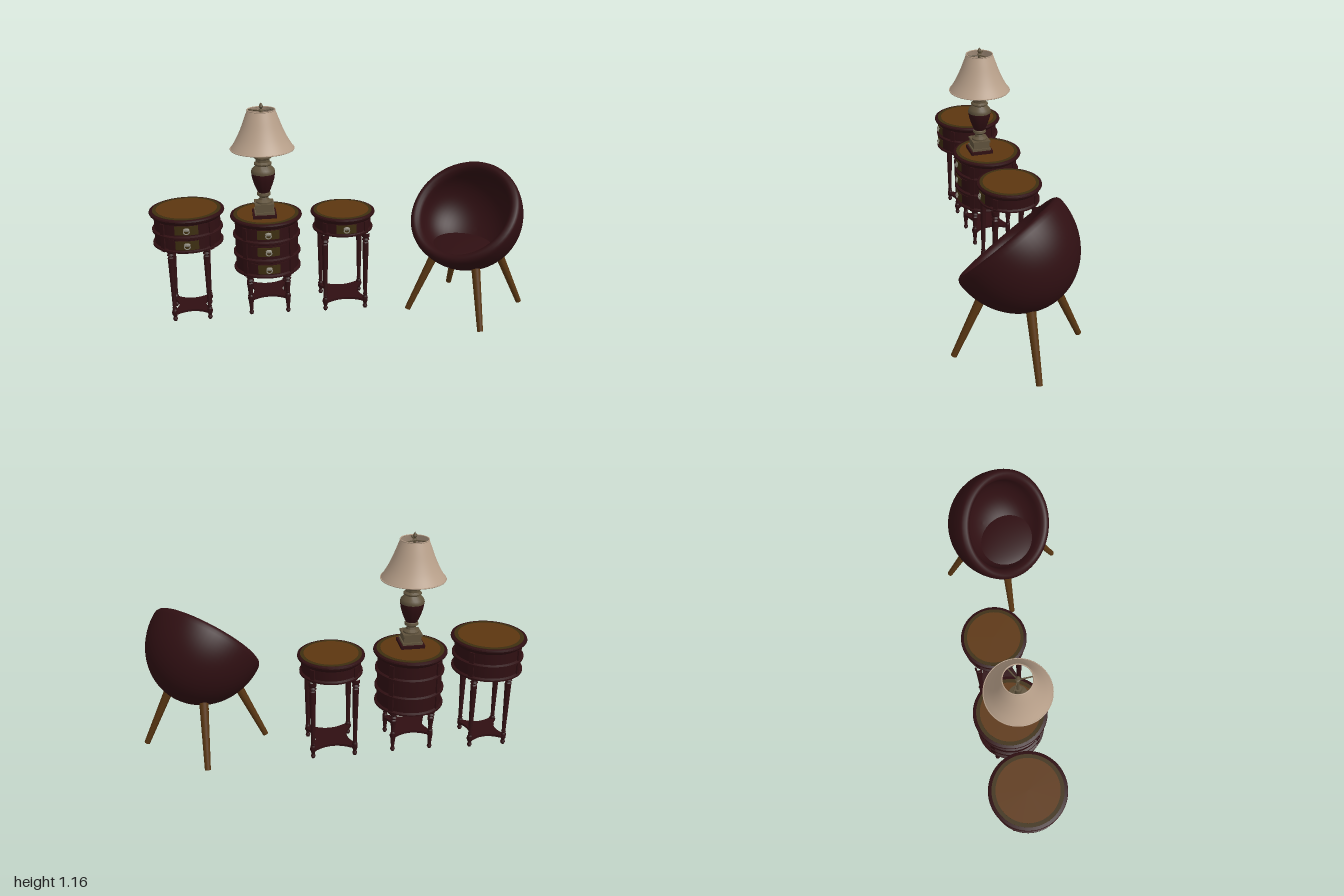
import * as THREE from 'three';
import { toCreasedNormals } from 'three/addons/utils/BufferGeometryUtils.js';

const mat = (name, color, side = THREE.FrontSide) => {
  const m = new THREE.MeshStandardMaterial({ color, side });
  m.name = name;
  return m;
};

export function createModel() {
  const wine = mat('dark wine', 0x2f0f12);
  const leather = mat('tan leather', 0x5c3610);
  const olive = mat('olive trim', 0x3d2e10);
  const legWood = mat('leg wood', 0x573512);
  const silver = mat('silver', 0x8f8a7c);
  const bronze = mat('aged bronze', 0x5f523c);
  const linen = mat('linen shade', 0xb8a08a, THREE.DoubleSide);

  const model = new THREE.Group();
  model.name = 'furnitureSet';

  const add = (parent, name, geo, material, x = 0, y = 0, z = 0) => {
    const mesh = new THREE.Mesh(geo, material);
    mesh.name = name;
    mesh.position.set(x, y, z);
    parent.add(mesh);
    return mesh;
  };
  const group = (name, x = 0, y = 0, z = 0) => {
    const g = new THREE.Group();
    g.name = name;
    g.position.set(x, y, z);
    model.add(g);
    return g;
  };
  const vecs = pts => pts.map(p => new THREE.Vector2(p[0], p[1]));
  // Turned part, profile listed from bottom to top as [radius, y]
  const turned = (pts, seg = 48, start = 0, arc = Math.PI * 2) =>
    toCreasedNormals(new THREE.LatheGeometry(vecs(pts), seg, start, arc), 0.6);

  // Shelf with four concave sides between the legs
  const shelfGeometry = s => {
    const e = s + 0.016, k = s * 0.52, c = 0.022;
    const shape = new THREE.Shape();
    shape.moveTo(e, e - c);
    for (let i = 0; i < 4; i++) {
      const a = i * Math.PI / 2, co = Math.cos(a), si = Math.sin(a);
      const at = (x, y) => [x * co - y * si, x * si + y * co];
      shape.lineTo(...at(e, e - c));
      shape.lineTo(...at(e - c, e));
      shape.quadraticCurveTo(...at(0, k * 0.75), ...at(c - e, e));
    }
    const geo = new THREE.ExtrudeGeometry(shape, { depth: 0.012, bevelEnabled: false, curveSegments: 14 });
    geo.rotateX(-Math.PI / 2);
    return geo;
  };

  // Round side table; tiers are the heights of the ledges between drawers
  const table = (name, x, R, top, tiers, legAt, foot, shelfY) => {
    const g = group(name, x, 0, -0.153);
    const low = tiers[0], r = R * 0.88;

    const profile = [[0, low], [r, low]];
    tiers.forEach((y, i) => {
      if (i === 0) profile.push([R * 0.94, low + 0.006], [R * 0.94, low + 0.014], [r, low + 0.02]);
      else if (i < tiers.length - 1)
        profile.push([r, y - 0.012], [R * 0.94, y - 0.006], [R * 0.94, y + 0.004], [r, y + 0.01]);
    });
    profile.push([r, top - 0.034], [R * 0.93, top - 0.026], [R * 0.95, top - 0.018],
      [R * 0.985, top - 0.015], [R, top - 0.009], [R * 0.99, top - 0.002], [R * 0.97, top], [0, top]);
    add(g, 'tableBody', turned(profile, 64), wine);

    // Inlaid top
    add(g, 'topBorder', new THREE.CylinderGeometry(R * 0.91, R * 0.91, 0.002, 64), olive, 0, top + 0.001, 0);
    add(g, 'topInlay', new THREE.CylinderGeometry(R * 0.81, R * 0.81, 0.002, 64), leather, 0, top + 0.002, 0);

    // Drawer fronts with plate and pull
    for (let i = 0; i < tiers.length - 1; i++) {
      const y = (tiers[i] + tiers[i + 1]) / 2 + 0.003;
      const band = (rad, h, half) =>
        turned([[rad - 0.005, y - h], [rad, y - h], [rad, y + h], [rad - 0.005, y + h]], 16, -half, half * 2);
      add(g, 'drawerFront', band(r + 0.004, 0.029, 0.6), wine);
      add(g, 'drawerPlate', band(r + 0.007, 0.024, 0.34), olive);
      const rosette = add(g, 'drawerRosette', new THREE.SphereGeometry(0.013, 12, 8), silver, 0, y + 0.005, r + 0.007);
      rosette.scale.set(1.3, 0.8, 0.45);
      const pull = add(g, 'drawerPull', new THREE.TorusGeometry(0.012, 0.0028, 6, 16), silver, 0, y - 0.005, r + 0.012);
      pull.scale.x = 1.2;
    }

    // Turned legs, with posts running up the body
    const leg = turned([[0, foot], [0.008, foot], [0.013, foot + 0.012], [0.008, foot + 0.024],
      [0.014, shelfY - 0.008], [0.014, shelfY + 0.016], [0.009, shelfY + 0.024], [0.012, shelfY + 0.03],
      [0.01, shelfY + 0.038], [0.017, low - 0.05], [0.011, low - 0.044], [0.02, low - 0.034],
      [0.014, low - 0.024], [0.021, low - 0.016], [0.021, low + 0.005]], 16);
    for (const sx of [-1, 1]) for (const sz of [-1, 1]) {
      add(g, 'tableLeg', leg, wine, sx * legAt, 0, sz * legAt);
      const h = top - 0.035 - low, d = (r - 0.004) * Math.SQRT1_2;
      const post = add(g, 'cornerPost', new THREE.BoxGeometry(0.026, h, 0.022), wine, sx * d, low + h / 2, sz * d);
      post.rotation.y = Math.atan2(sx, sz);
    }
    add(g, 'lowerShelf', shelfGeometry(legAt), wine, 0, shelfY - 0.006, 0);
    return g;
  };

  table('twoDrawerTable', -0.803, 0.195, 0.6, [0.415, 0.5, 0.578], 0.092, 0, 0.045);
  table('threeDrawerTable', -0.39, 0.19, 0.554, [0.247, 0.345, 0.445, 0.535], 0.099, 0.015, 0.105);
  table('oneDrawerTable', 0.02, 0.172, 0.554, [0.45, 0.535], 0.109, 0.015, 0.066);

  // Table lamp
  const lamp = group('tableLamp', -0.4, 0, -0.113);
  [[0.124, 0.556, 0.018], [0.104, 0.574, 0.012], [0.09, 0.586, 0.034], [0.1, 0.62, 0.01]].forEach(([w, y, h], i) =>
    add(lamp, 'lampFoot', new THREE.BoxGeometry(w, h, w), i === 0 ? wine : bronze, 0, y + h / 2, 0));
  add(lamp, 'lampCup', turned([[0.042, 0.63], [0.042, 0.638], [0.026, 0.648], [0.022, 0.66], [0.036, 0.672],
    [0.034, 0.684], [0.028, 0.688]], 32), bronze);
  add(lamp, 'lampVase', turned([[0.026, 0.68], [0.036, 0.7], [0.048, 0.73], [0.057, 0.76], [0.061, 0.785],
    [0.06, 0.8], [0.056, 0.812]], 40), wine);
  add(lamp, 'lampNeck', turned([[0.062, 0.79], [0.063, 0.797], [0.058, 0.812], [0.044, 0.826], [0.038, 0.832],
    [0.046, 0.838], [0.046, 0.844], [0.036, 0.852], [0.036, 0.866], [0.046, 0.873], [0.046, 0.88],
    [0.024, 0.888], [0.014, 0.892], [0.018, 0.9], [0.008, 0.908], [0.007, 1.118]], 32), bronze);
  add(lamp, 'lampSocket', new THREE.CylinderGeometry(0.016, 0.016, 0.05, 20), bronze, 0, 0.955, 0);
  add(lamp, 'finial', turned([[0, 1.118], [0.012, 1.121], [0.005, 1.127], [0.011, 1.139], [0.008, 1.148], [0, 1.16]], 16), bronze);
  const shade = new THREE.SplineCurve(vecs([[0.163, 0.922], [0.134, 0.97], [0.108, 1.025], [0.085, 1.085], [0.071, 1.122]]));
  add(lamp, 'lampShade', new THREE.LatheGeometry(shade.getPoints(16), 64), linen);
  for (const [r, y] of [[0.163, 0.922], [0.071, 1.122]]) {
    const trim = add(lamp, 'shadeTrim', new THREE.TorusGeometry(r, 0.003, 6, 64), linen, 0, y, 0);
    trim.rotation.x = Math.PI / 2;
  }
  // Three arms carrying the shade
  for (let i = 0; i < 3; i++) {
    const arm = new THREE.CylinderGeometry(0.0035, 0.0035, 0.071, 6);
    arm.rotateX(Math.PI / 2).translate(0, 0, 0.0355);
    add(lamp, 'shadeArm', arm, bronze, 0, 1.116, 0).rotation.y = i * Math.PI * 2 / 3;
  }

  // Egg chair, turned to face the tables
  const chair = group('eggChair', 0.67, 0, 0.01);
  const seat = new THREE.Group();
  seat.name = 'chairSeat';
  seat.rotation.y = -Math.PI / 4;
  chair.add(seat);
  const profile = [];
  for (let i = 0; i <= 20; i++) {
    const a = i / 20 * Math.PI / 2;
    profile.push([0.3 * Math.sin(a), -0.33 * Math.cos(a)]);
  }
  profile.push([0.298, 0.016], [0.29, 0.029], [0.277, 0.036], [0.263, 0.034], [0.251, 0.024], [0.243, 0.008]);
  for (let i = 0; i <= 14; i++) {
    const a = i / 14 * Math.PI / 2;
    profile.push([0.24 * Math.cos(a), -0.01 - 0.2 * Math.sin(a)]);
  }
  const shell = add(seat, 'chairShell', new THREE.LatheGeometry(vecs(profile), 64), wine, 0, 0.57, 0.04);
  shell.rotation.x = 0.82;
  const cushion = add(seat, 'seatCushion', new THREE.SphereGeometry(1, 40, 20), wine, 0, 0.375, 0.045);
  cushion.scale.set(0.205, 0.035, 0.155);
  cushion.rotation.x = 0.08;

  // Splayed chair legs
  const low = new THREE.Vector3(0, 0.018, 0.315), high = new THREE.Vector3(0, 0.33, 0.175);
  for (let i = 0; i < 4; i++) {
    const pivot = new THREE.Group();
    pivot.name = 'chairLegMount';
    pivot.rotation.y = i * Math.PI / 2;
    chair.add(pivot);
    const mid = low.clone().add(high).multiplyScalar(0.5);
    const leg = add(pivot, 'chairLeg', new THREE.CylinderGeometry(0.023, 0.015, low.distanceTo(high), 24), legWood, mid.x, mid.y, mid.z);
    leg.quaternion.setFromUnitVectors(new THREE.Vector3(0, 1, 0), high.clone().sub(low).normalize());
  }
  return model;
}
